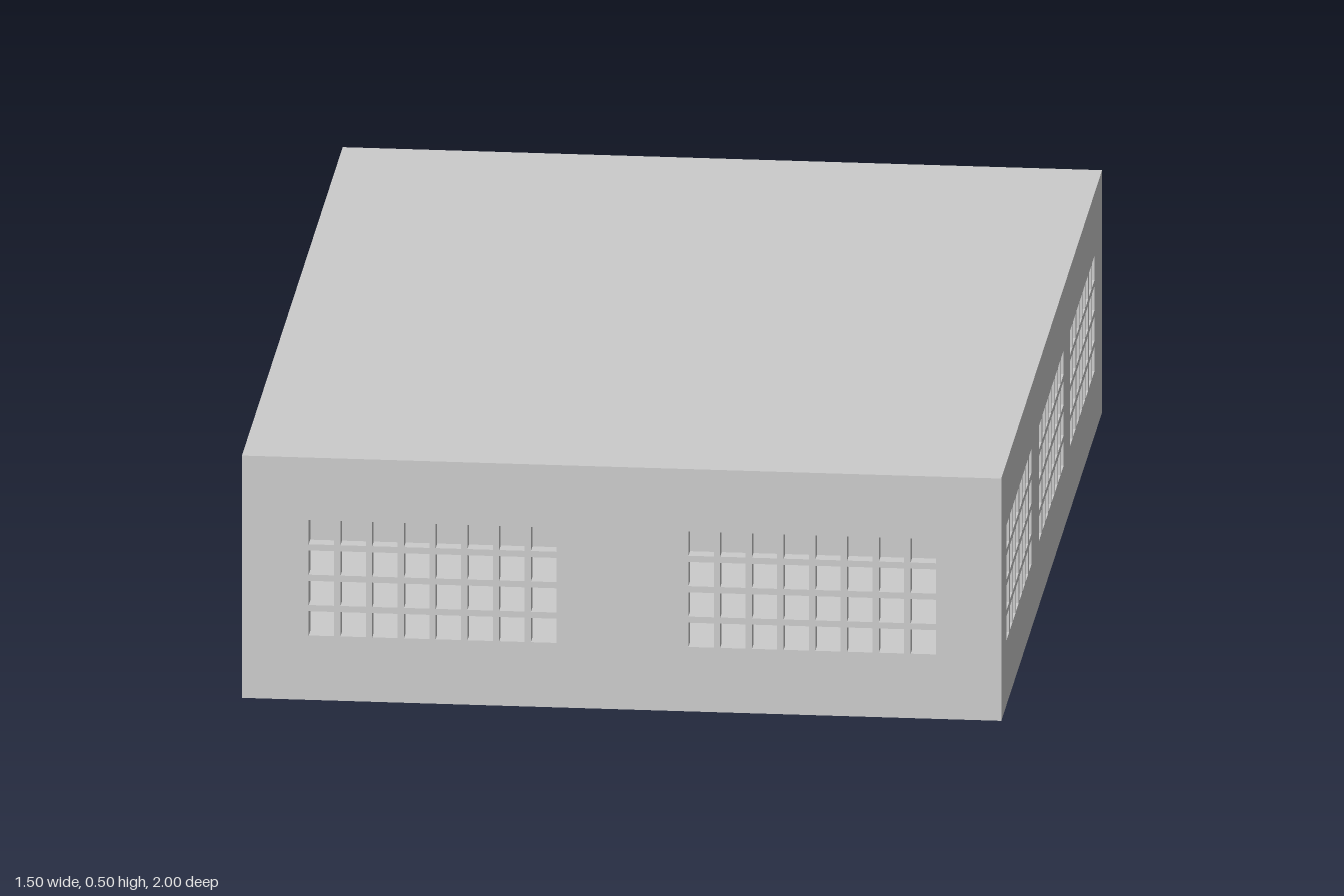
import * as THREE from 'three';

const W = 1.5, H = 0.5, L = 2, T = 0.03;          // shell size and wall thickness
const PANE = 0.05, PITCH = 0.0627, COLS = 8, ROWS = 4, SILL = 0.133;
const DOOR = { from: -0.555, to: -0.197, top: 0.24 };

const material = new THREE.MeshStandardMaterial({ color: 0xcccccc, side: THREE.DoubleSide });

function polygon(points, Type = THREE.Shape) {
  return new Type(points.map(([x, y]) => new THREE.Vector2(x, y)));
}

function rectangle(x0, y0, x1, y1) {
  return polygon([[x0, y0], [x1, y0], [x1, y1], [x0, y1]]);
}

// Cuts a grid of square openings, beginning at each given x
function cutWindows(shape, starts) {
  for (const start of starts)
    for (let c = 0; c < COLS; c++)
      for (let r = 0; r < ROWS; r++) {
        const x = start + c * PITCH, y = SILL + r * PITCH;
        shape.holes.push(polygon([[x, y], [x, y + PANE], [x + PANE, y + PANE], [x + PANE, y]], THREE.Path));
      }
  return shape;
}

// Panel with its inner face pulled in at the rim, so panels meet in mitred corners
function panel(name, shape, half, bottom, top, bottomInset) {
  const geometry = new THREE.ExtrudeGeometry(shape, { depth: T, bevelEnabled: false });
  const p = geometry.attributes.position, eps = 1e-4;
  for (let i = 0; i < p.count; i++) {
    if (p.getZ(i) > eps) continue;
    const x = p.getX(i), y = p.getY(i);
    if (Math.abs(x) > half - eps) p.setX(i, Math.sign(x) * (half - T));
    if (y > top - eps) p.setY(i, top - T);
    if (y < bottom + eps) p.setY(i, bottom + bottomInset);
  }
  geometry.computeVertexNormals();
  const mesh = new THREE.Mesh(geometry, material);
  mesh.name = name;
  return mesh;
}

function wall(name, shape, length, distance, angle) {
  const mesh = panel(name, shape, length / 2, 0, H, 0.003);
  mesh.rotation.y = angle;
  mesh.position.set(Math.sin(angle), 0, Math.cos(angle)).multiplyScalar(distance - T);
  return mesh;
}

export function createModel() {
  const building = new THREE.Group();
  building.name = 'building';

  // Front wall with two window banks, plain back wall
  const front = cutWindows(rectangle(-W / 2, 0, W / 2, H), [-0.618, 0.132]);
  building.add(wall('frontWall', front, W, L / 2, 0));
  building.add(wall('backWall', rectangle(-W / 2, 0, W / 2, H), W, L / 2, Math.PI));

  // Side wall with three window banks
  const windowed = cutWindows(rectangle(-L / 2, 0, L / 2, H), [-0.893, -0.25, 0.362]);
  building.add(wall('windowedSideWall', windowed, L, W / 2, Math.PI / 2));

  // Opposite side wall with a doorway open to the ground
  const doorway = polygon([
    [-L / 2, 0], [DOOR.from, 0], [DOOR.from, DOOR.top], [DOOR.to, DOOR.top],
    [DOOR.to, 0], [L / 2, 0], [L / 2, H], [-L / 2, H],
  ]);
  building.add(wall('doorwaySideWall', doorway, L, W / 2, -Math.PI / 2));

  // Flat roof
  const roof = panel('roof', rectangle(-W / 2, -L / 2, W / 2, L / 2), W / 2, -L / 2, L / 2, T);
  roof.rotation.x = -Math.PI / 2;
  roof.position.y = H - T;
  building.add(roof);

  // Thin floor, notched at the doorway (shape y runs along +z)
  const floorShape = polygon([
    [-W / 2, -L / 2], [W / 2, -L / 2], [W / 2, L / 2], [-W / 2, L / 2],
    [-W / 2, DOOR.to], [-W / 2 + T, DOOR.to], [-W / 2 + T, DOOR.from], [-W / 2, DOOR.from],
  ]);
  const floor = new THREE.Mesh(new THREE.ShapeGeometry(floorShape), material);
  floor.name = 'floor';
  floor.rotation.x = Math.PI / 2;
  building.add(floor);

  // Thin cross partition inside
  const partition = new THREE.Mesh(new THREE.BoxGeometry(W - 2 * T, H - T, 0.008), material);
  partition.name = 'partition';
  partition.position.y = (H - T) / 2;
  building.add(partition);

  return building;
}
